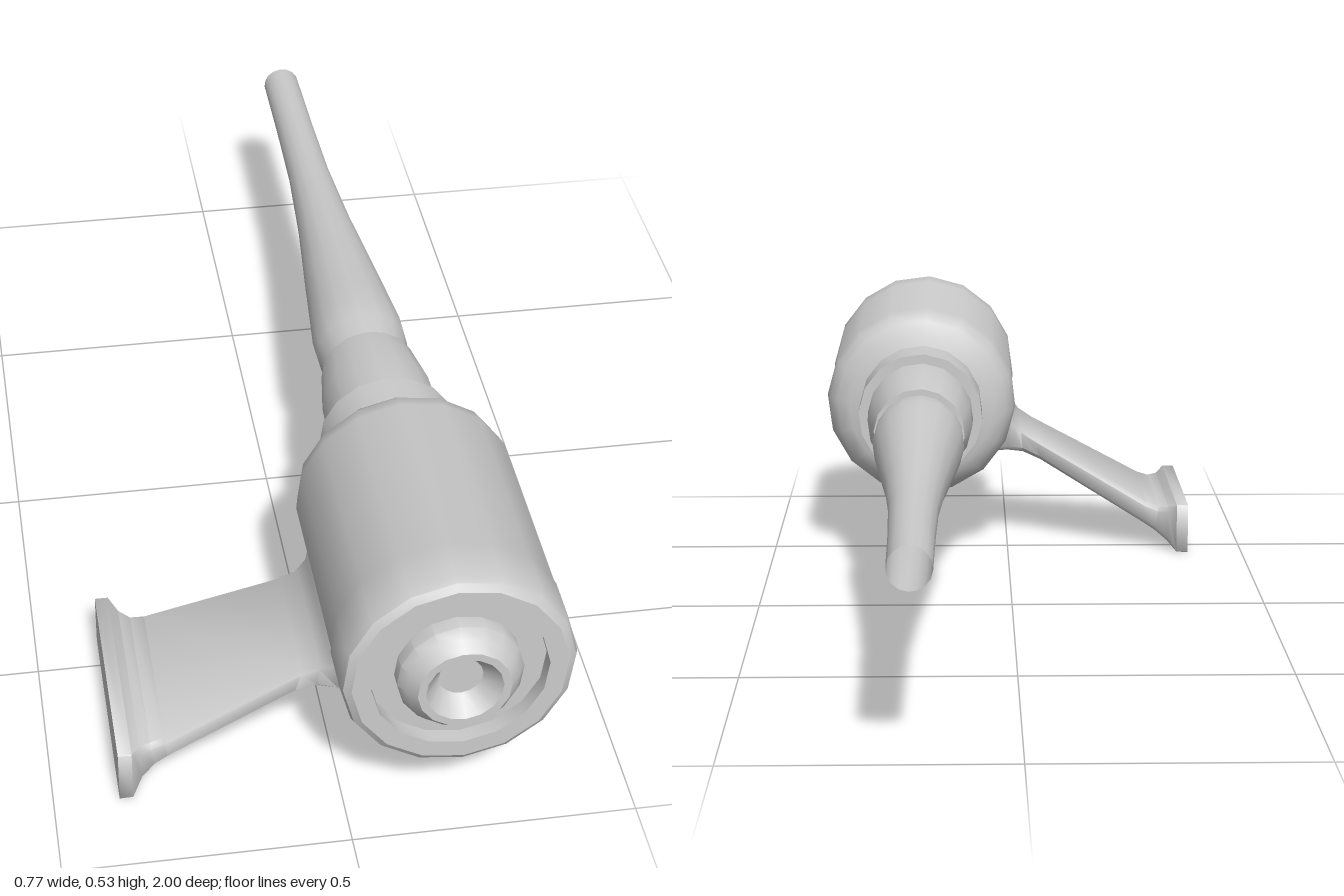
import * as THREE from 'three';
import { toCreasedNormals } from 'three/addons/utils/BufferGeometryUtils.js';

const AXIS_X = 0.183, AXIS_Y = 0.325, SIDES = 16;
const material = new THREE.MeshStandardMaterial({ color: 0xcccccc });
const openMaterial = new THREE.MeshStandardMaterial({ color: 0xcccccc, side: THREE.DoubleSide });

// Turned part along z, from [radius, z] pairs ordered back to front
function turned(name, profile, mat = material) {
  const points = profile.map(([r, z]) => new THREE.Vector2(r, z));
  let geometry = new THREE.LatheGeometry(points, SIDES, 0.07);
  geometry.rotateX(Math.PI / 2);
  geometry = toCreasedNormals(geometry, 0.6);
  const mesh = new THREE.Mesh(geometry, mat);
  mesh.name = name;
  mesh.position.set(AXIS_X, AXIS_Y, 0);
  return mesh;
}

// Bracket lofted through chamfered rectangular sections.
// Each section: top x, top y, bottom x, bottom y, back z, front z
function bracket() {
  const sections = [
    [-0.385, 0.103, -0.385, 0.0, 0.43, 0.845],
    [-0.361, 0.103, -0.361, 0.001, 0.43, 0.845],
    [-0.345, 0.093, -0.342, 0.02, 0.45, 0.825],
    [-0.325, 0.09, -0.318, 0.038, 0.468, 0.815],
    [-0.3, 0.098, -0.295, 0.052, 0.478, 0.813],
    [-0.06, 0.226, -0.072, 0.178, 0.555, 0.813],
    [-0.03, 0.245, -0.035, 0.194, 0.56, 0.822],
    [-0.014, 0.265, 0.0, 0.199, 0.555, 0.84],
    [-0.008, 0.29, 0.035, 0.197, 0.55, 0.848],
    [0.03, 0.32, 0.085, 0.16, 0.55, 0.848],
  ];
  const positions = [], index = [], N = 8;
  sections.forEach(([tx, ty, bx, by, z0, z1], i) => {
    const c = i < 2 ? 0.001 : 0.009;
    const k = c / Math.hypot(tx - bx, ty - by);
    // u runs from bottom to top of the section
    const loop = [
      [0, z0 + c], [0, z1 - c], [k, z1], [1 - k, z1],
      [1, z1 - c], [1, z0 + c], [1 - k, z0], [k, z0],
    ];
    for (const [u, z] of loop) positions.push(bx + (tx - bx) * u, by + (ty - by) * u, z);
  });
  for (let s = 0; s < sections.length - 1; s++) {
    for (let j = 0; j < N; j++) {
      const a = s * N + j, b = s * N + (j + 1) % N;
      index.push(a, a + N, b, b, a + N, b + N);
    }
  }
  // Flat mounting face at the outer end
  for (let j = 1; j < N - 1; j++) index.push(0, j, j + 1);
  let geometry = new THREE.BufferGeometry();
  geometry.setAttribute('position', new THREE.Float32BufferAttribute(positions, 3));
  geometry.setIndex(index);
  geometry = toCreasedNormals(geometry, 0.85);
  const mesh = new THREE.Mesh(geometry, material);
  mesh.name = 'mountingBracket';
  return mesh;
}

export function createModel() {
  const group = new THREE.Group();
  group.name = 'nozzleUnit';

  // Housing with a wide front rim and a recessed front face
  group.add(turned('housing', [
    [0, 0.41], [0.152, 0.41], [0.178, 0.425], [0.193, 0.445], [0.2, 0.475],
    [0.2, 0.85], [0.2025, 0.86], [0.2025, 0.945], [0.198, 0.957], [0.185, 0.966],
    [0.152, 0.966], [0.152, 0.938], [0, 0.938],
  ]));

  // Front inlet with a conical bore
  group.add(turned('frontInlet', [
    [0.108, 0.93], [0.108, 0.964], [0.096, 0.982], [0.08, 1.0],
    [0.066, 1.0], [0.038, 0.965], [0, 0.965],
  ]));

  // Stepped collar behind the housing
  group.add(turned('collar', [
    [0, 0.3], [0.128, 0.3], [0.128, 0.415],
  ]));
  group.add(turned('collarSleeve', [
    [0.07, 0.1], [0.091, 0.1], [0.106, 0.2], [0.109, 0.31],
  ], openMaterial));

  // Long tapering nozzle, open at its tip
  group.add(turned('nozzle', [
    [0.038, -1.0], [0.04, -0.8], [0.044, -0.6], [0.056, -0.4], [0.074, -0.2],
    [0.084, -0.08], [0.09, -0.01], [0.089, 0.035], [0.079, 0.1], [0.077, 0.13],
  ], openMaterial));

  group.add(bracket());
  return group;
}
